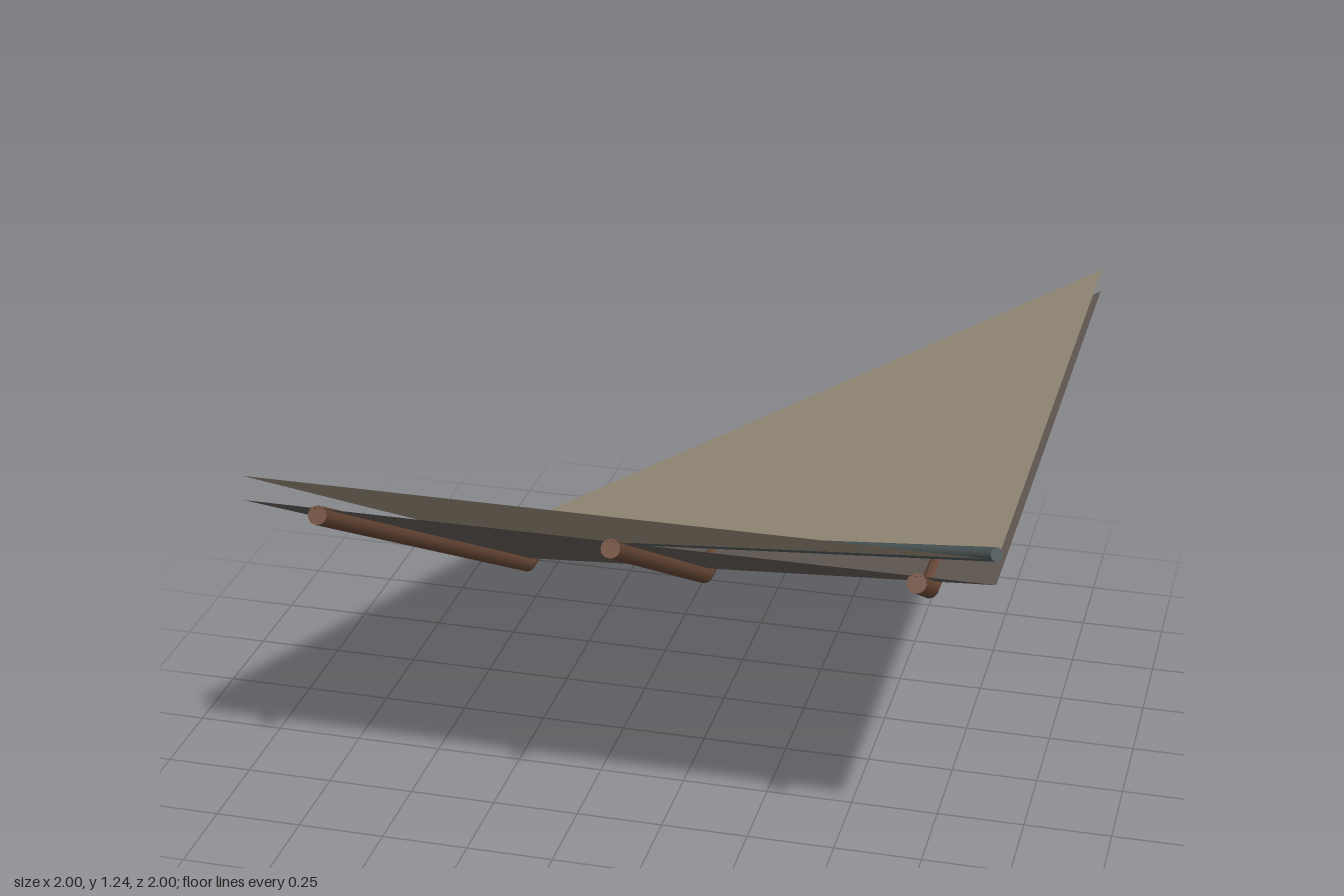
import * as THREE from 'three';

const E = 0.99;                          // half width of the roof
const SLOPE = Math.tan(Math.PI / 6);     // 30 degree pitch
const roofY = (x, z) => SLOPE * (Math.max(x, z) + E);

const paint = (color, side = THREE.FrontSide) => new THREE.MeshStandardMaterial({ color, side });

// Two triangular slopes meeting in a diagonal valley
function valleySheet(name, lift, material) {
  const corner = (x, z) => [x * E, roofY(x * E, z * E) + lift, z * E];
  const low = corner(-1, -1), high = corner(1, 1);
  const positions = [low, corner(-1, 1), high, low, high, corner(1, -1)].flat();
  const geometry = new THREE.BufferGeometry();
  geometry.setAttribute('position', new THREE.Float32BufferAttribute(positions, 3));
  geometry.computeVertexNormals();
  const mesh = new THREE.Mesh(geometry, material);
  mesh.name = name;
  return mesh;
}

// Round pole between two points
function pole(name, a, b, radius, material) {
  const dir = b.clone().sub(a);
  const mesh = new THREE.Mesh(new THREE.CylinderGeometry(radius, radius, dir.length(), 12), material);
  mesh.position.copy(a).add(b).multiplyScalar(0.5);
  mesh.quaternion.setFromUnitVectors(new THREE.Vector3(0, 1, 0), dir.normalize());
  mesh.name = name;
  return mesh;
}

export function createModel() {
  const model = new THREE.Group();
  model.name = 'valleyRoof';

  // Shingle layer above, boarded underside below, open at the edges
  model.add(valleySheet('shingles', 0.07, paint(0xa09480, THREE.DoubleSide)));
  model.add(valleySheet('underside', 0, paint(0x6a605a, THREE.DoubleSide)));

  // Strip covering the valley
  const tip = 0.987, capLift = 0.085;
  model.add(pole('valleyStrip',
    new THREE.Vector3(-tip, roofY(-tip, -tip) + capLift, -tip),
    new THREE.Vector3(tip, roofY(tip, tip) + capLift, tip),
    0.018, paint(0x505b5c)));

  // Rafters: level behind the valley, rising with the slope in front of it
  const wood = paint(0x6b4a38), radius = 0.026, drop = 0.02;
  for (const x of [-0.79, 0, 0.79]) {
    const rafter = new THREE.Group();
    rafter.name = 'rafter';
    const at = (z) => new THREE.Vector3(x, roofY(x, z) - drop, z);
    const bend = at(x);
    rafter.add(pole('levelPart', at(-0.992), bend, radius, wood));
    rafter.add(pole('slopedPart', bend, at(0.985), radius, wood));
    const joint = new THREE.Mesh(new THREE.SphereGeometry(radius, 12, 8), wood);
    joint.name = 'bend';
    joint.position.copy(bend);
    rafter.add(joint);
    model.add(rafter);
  }
  return model;
}
